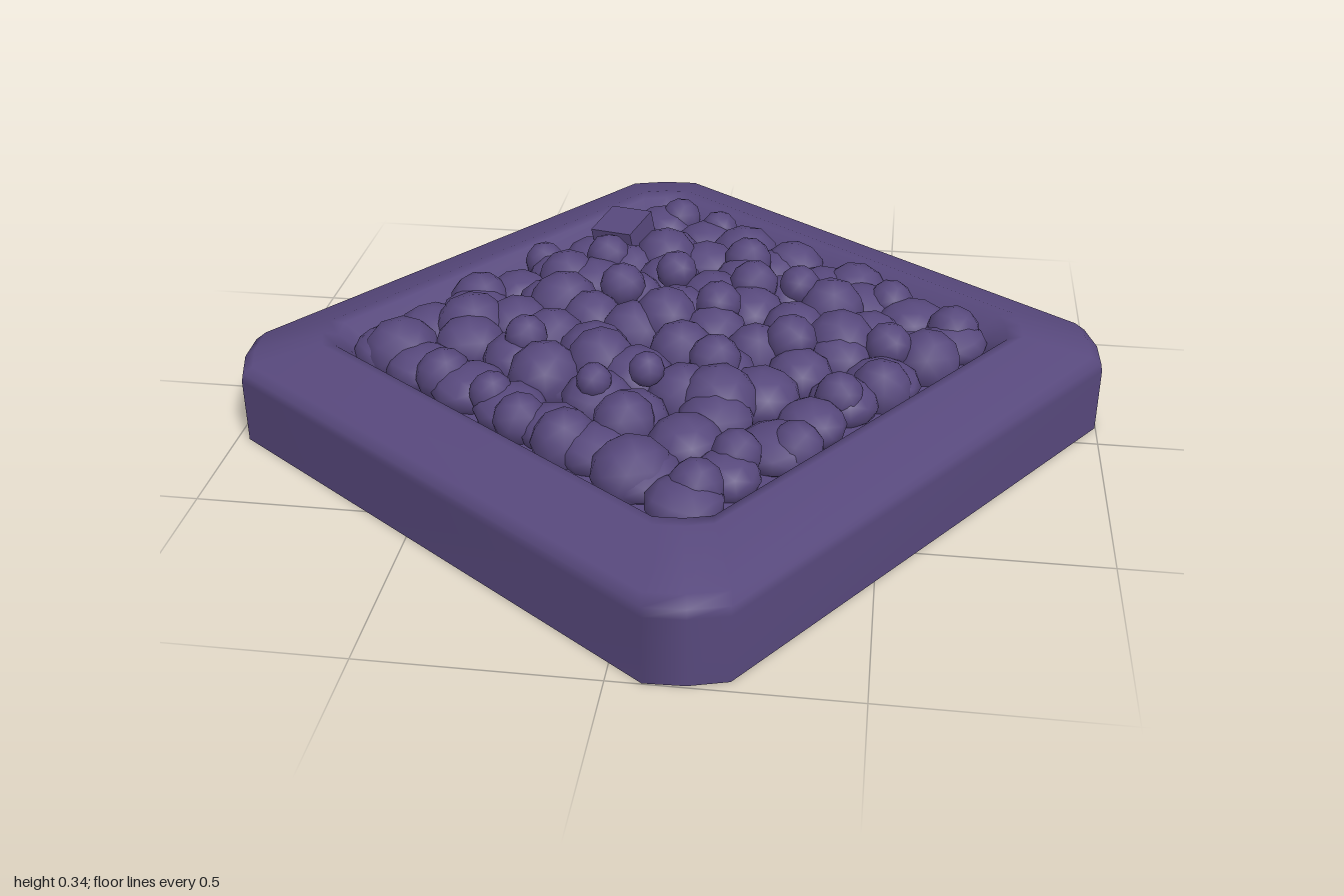
import * as THREE from 'three';

const TURN = Math.PI / 5; // the tray sits turned 36 degrees
const COS = Math.cos(TURN), SIN = Math.sin(TURN);
const FLOOR = 0.17;

const material = new THREE.MeshStandardMaterial({ color: 0x57487c, side: THREE.DoubleSide });

function seeded(seed) {
  return () => (seed = (seed * 16807) % 2147483647) / 2147483647;
}

// Square loop with softened corners: three points per corner
function squareLoop(half, cut, y) {
  const points = [];
  const mid = half - cut * 0.44;
  const corner = [[half, half - cut], [mid, mid], [half - cut, half]];
  for (let q = 0; q < 4; q++) {
    const c = Math.round(Math.cos(q * Math.PI / 2)), s = Math.round(Math.sin(q * Math.PI / 2));
    for (const [x, z] of corner) points.push([x * c - z * s, y, x * s + z * c]);
  }
  return points;
}

// Hollow frame: outer wall, rounded shoulder, sloping top, inner lip
function frameGeometry() {
  const loops = [
    [0.765, 0.12, 0], [0.765, 0.12, 0.155], [0.762, 0.12, 0.175], [0.745, 0.12, 0.193],
    [0.615, 0.085, 0.235], [0.59, 0.085, 0.23], [0.555, 0.08, 0.19], [0.545, 0.08, FLOOR],
  ].map((loop) => squareLoop(...loop));
  const n = loops[0].length;
  const index = [];
  for (let i = 0; i < loops.length - 1; i++) {
    for (let j = 0; j < n; j++) {
      const k = (j + 1) % n;
      const a = i * n + j, b = i * n + k, c = a + n, d = b + n;
      index.push(a, c, b, b, c, d);
    }
  }
  const geometry = new THREE.BufferGeometry();
  geometry.setAttribute('position', new THREE.Float32BufferAttribute(loops.flat(2), 3));
  geometry.setIndex(index);
  geometry.computeVertexNormals();
  return geometry;
}

// Height of the heap over a point of the tray
function heapTop(x, z) {
  const u = x * COS + z * SIN, v = z * COS - x * SIN;
  const d = Math.min(1, Math.max(Math.abs(u), Math.abs(v)) / 0.56);
  return 0.245 + 0.075 * (1 - d * d);
}

// Larger stones on the surface: x, z, radius
const STONES = [
  [0.12, -0.5, 0.09], [-0.07, -0.68, 0.055], [0.04, -0.62, 0.05], [0.25, -0.44, 0.08], [0.41, -0.34, 0.08],
  [0.5, -0.25, 0.055], [0.65, -0.12, 0.065], [0.59, 0.01, 0.08], [0.39, 0, 0.085], [0.28, -0.21, 0.05],
  [0.17, -0.2, 0.06], [0.14, -0.37, 0.06], [-0.07, -0.39, 0.08], [-0.21, -0.34, 0.055], [-0.38, -0.37, 0.05],
  [-0.3, -0.27, 0.075], [-0.5, -0.16, 0.075], [-0.62, 0.12, 0.09], [-0.48, 0, 0.09], [-0.28, -0.11, 0.09],
  [-0.49, 0.24, 0.065], [-0.36, 0.33, 0.05], [-0.32, 0.14, 0.05], [-0.26, 0.23, 0.085], [-0.14, 0.18, 0.08],
  [-0.28, 0.41, 0.06], [-0.17, 0.47, 0.075], [-0.01, 0.57, 0.09], [0.13, 0.63, 0.06], [0.2, 0.51, 0.055],
  [0.32, 0.44, 0.06], [0.4, 0.24, 0.055], [0.12, 0.2, 0.06], [0.14, 0.3, 0.09], [-0.05, 0.42, 0.07],
  [-0.13, 0.33, 0.04], [-0.02, 0.29, 0.04], [-0.02, -0.02, 0.075], [-0.02, -0.21, 0.05], [0.1, -0.05, 0.055],
  [0.28, 0.07, 0.06], [0.5, 0.03, 0.055], [-0.14, -0.13, 0.055], [0.49, 0.16, 0.07], [0.36, -0.18, 0.08],
];

export function createModel() {
  const model = new THREE.Group();
  const random = seeded(71);

  const add = (name, geometry, parent = model) => {
    const mesh = new THREE.Mesh(geometry, material);
    mesh.name = name;
    parent.add(mesh);
    return mesh;
  };

  // Tray
  const tray = new THREE.Group();
  tray.name = 'tray';
  tray.rotation.y = -TURN;
  model.add(tray);
  add('frame', frameGeometry(), tray);
  const floor = add('floor', new THREE.PlaneGeometry(1.12, 1.12), tray);
  floor.rotation.x = -Math.PI / 2;
  floor.position.y = FLOOR;

  // Heap of stones
  const heap = new THREE.Group();
  heap.name = 'stoneHeap';
  model.add(heap);
  const ball = new THREE.IcosahedronGeometry(1, 1);
  const addStone = (name, x, z, r, top, bottom) => {
    const h = Math.min(r, (top - bottom) / 2);
    const stone = add(name, ball, heap);
    stone.position.set(x, top - h, z);
    stone.scale.set(r, h, r);
    stone.rotation.y = random() * Math.PI * 2;
  };

  // Bottom layer: a jittered grid of stones resting in the floor
  for (let i = 0; i < 8; i++) {
    for (let j = 0; j < 8; j++) {
      const u = (i - 3.5) * 0.133 + (random() - 0.5) * 0.03;
      const v = (j - 3.5) * 0.133 + (random() - 0.5) * 0.03;
      const x = u * COS - v * SIN, z = u * SIN + v * COS;
      addStone('bottomStone', x, z, 0.075 + random() * 0.015, heapTop(x, z) - 0.02, 0.14);
    }
  }

  // Top layer: small stones ride a little higher
  for (const [x, z, r] of STONES) {
    const base = heapTop(x, z);
    const lift = r < 0.065 && base > 0.27 ? 0.02 : 0.008;
    addStone('topStone', x, z, r, base + lift, 0.12);
  }

  // One squared block among the stones
  const block = add('squareStone', new THREE.BoxGeometry(0.115, 0.115, 0.115), heap);
  block.position.set(-0.19, 0.235, -0.48);
  block.rotation.set(0.2, -0.35, 0.15);

  return model;
}
